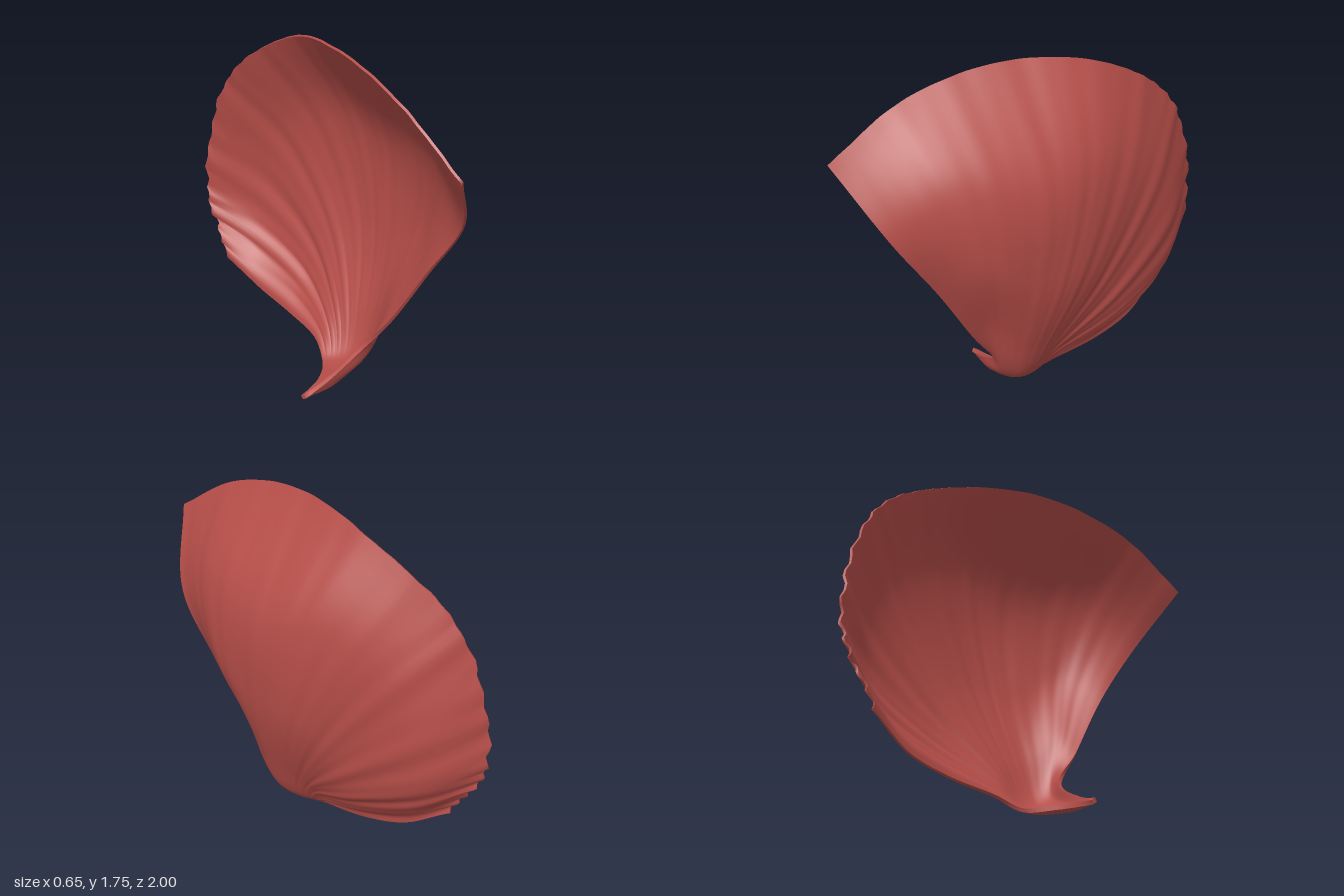
import * as THREE from 'three';

// Ribs of the petal, fanning from neck to rim, listed from the +z edge to the -z edge.
const RIBS = [
  [[-.18, .09, .23], [0, .2, .26], [.06, .4, .4], [.1, .75, .61], [.09, 1.07, .82], [-.13, 1.42, 1]],
  [[-.14, .06, .225], [.05, .15, .25], [.15, .5, .34], [.245, .9, .45], [.17, 1.3, .54], [-.12, 1.65, .62]],
  [[-.12, .04, .215], [.08, .1, .18], [.19, .35, .17], [.295, .75, .14], [.285, 1.25, .12], [-.05, 1.76, .14]],
  [[-.12, .025, .2], [.07, .07, .12], [.19, .33, .05], [.305, .75, -.06], [.27, 1.28, -.22], [.06, 1.69, -.36]],
  [[-.13, .018, .17], [.04, .045, .07], [.14, .25, -.03], [.245, .62, -.27], [.2, 1.05, -.58], [.01, 1.36, -.83]],
  [[-.14, .015, .14], [.01, .03, .03], [.09, .17, -.08], [.18, .36, -.38], [.13, .55, -.74], [-.04, .7, -.99]],
  [[-.15, .015, .11], [-.03, .015, 0], [.03, .08, -.12], [.04, .13, -.36], [.01, .2, -.6], [-.05, .33, -.8]],
];
const NU = 110, NV = 70;

// Grid surface from a point function of (column, row).
function gridGeometry(point, nu, nv, flip = false) {
  const pos = [], index = [];
  for (let j = 0; j <= nv; j++) {
    for (let i = 0; i <= nu; i++) pos.push(...point(i, j).toArray());
  }
  for (let j = 0; j < nv; j++) {
    for (let i = 0; i < nu; i++) {
      const a = j * (nu + 1) + i, b = a + 1, c = a + nu + 1, d = c + 1;
      if (flip) index.push(a, c, b, b, c, d);
      else index.push(a, b, c, b, d, c);
    }
  }
  const g = new THREE.BufferGeometry();
  g.setAttribute('position', new THREE.Float32BufferAttribute(pos, 3));
  g.setIndex(index);
  g.computeVertexNormals();
  return g;
}

export function createModel() {
  const model = new THREE.Group();
  model.name = 'petal';
  const red = new THREE.MeshStandardMaterial({ color: 0xb54d48, side: THREE.DoubleSide });
  red.name = 'petal red';

  // Each rib starts at the narrow stem tip.
  const ribs = RIBS.map((rib, k) => {
    const f = k / (RIBS.length - 1);
    const tip = new THREE.Vector3(-.32, .03 - .018 * f, .21 - .025 * f);
    return new THREE.CatmullRomCurve3([tip, ...rib.map(p => new THREE.Vector3(...p))]);
  });

  // Loft across the ribs, with fine radial wrinkles and a ragged edge at the back.
  const rows = [];
  for (let j = 0; j <= NV; j++) {
    const v = j / NV;
    const across = new THREE.CatmullRomCurve3(ribs.map(r => r.getPoint(v)));
    const row = [];
    for (let i = 0; i <= NU; i++) {
      const u = i / NU;
      const p = across.getPoint(u);
      const back = THREE.MathUtils.smoothstep(u, .4, .9);
      const fan = THREE.MathUtils.smoothstep(v, .3, .8);
      p.x += fan * (.0015 + .005 * back) * (Math.sin(u * 74 + 3 * v) + .6 * Math.sin(u * 131 - 5 * v));
      const rag = Math.pow(v, 20) * back * .012 * Math.sin(u * 190);
      p.z -= rag;
      row.push(p);
    }
    rows.push(row);
  }

  const outer = gridGeometry((i, j) => rows[j][i], NU, NV);
  const normals = outer.attributes.normal;
  const inside = (i, j) => {
    const n = new THREE.Vector3().fromBufferAttribute(normals, j * (NU + 1) + i);
    return rows[j][i].clone().addScaledVector(n, -(.022 - .01 * j / NV));
  };
  const inner = gridGeometry(inside, NU, NV, true);

  // Thin wall around the whole outline, closing the two faces.
  const outline = [];
  for (let i = 0; i < NU; i++) outline.push([i, 0]);
  for (let j = 0; j < NV; j++) outline.push([NU, j]);
  for (let i = NU; i > 0; i--) outline.push([i, NV]);
  for (let j = NV; j >= 0; j--) outline.push([0, j]);
  const edge = gridGeometry((i, j) => {
    const [a, b] = outline[i];
    return j ? rows[b][a] : inside(a, b);
  }, outline.length - 1, 1);

  for (const [name, geometry] of [['outerFace', outer], ['innerFace', inner], ['rimEdge', edge]]) {
    const mesh = new THREE.Mesh(geometry, red);
    mesh.name = name;
    model.add(mesh);
  }
  return model;
}
